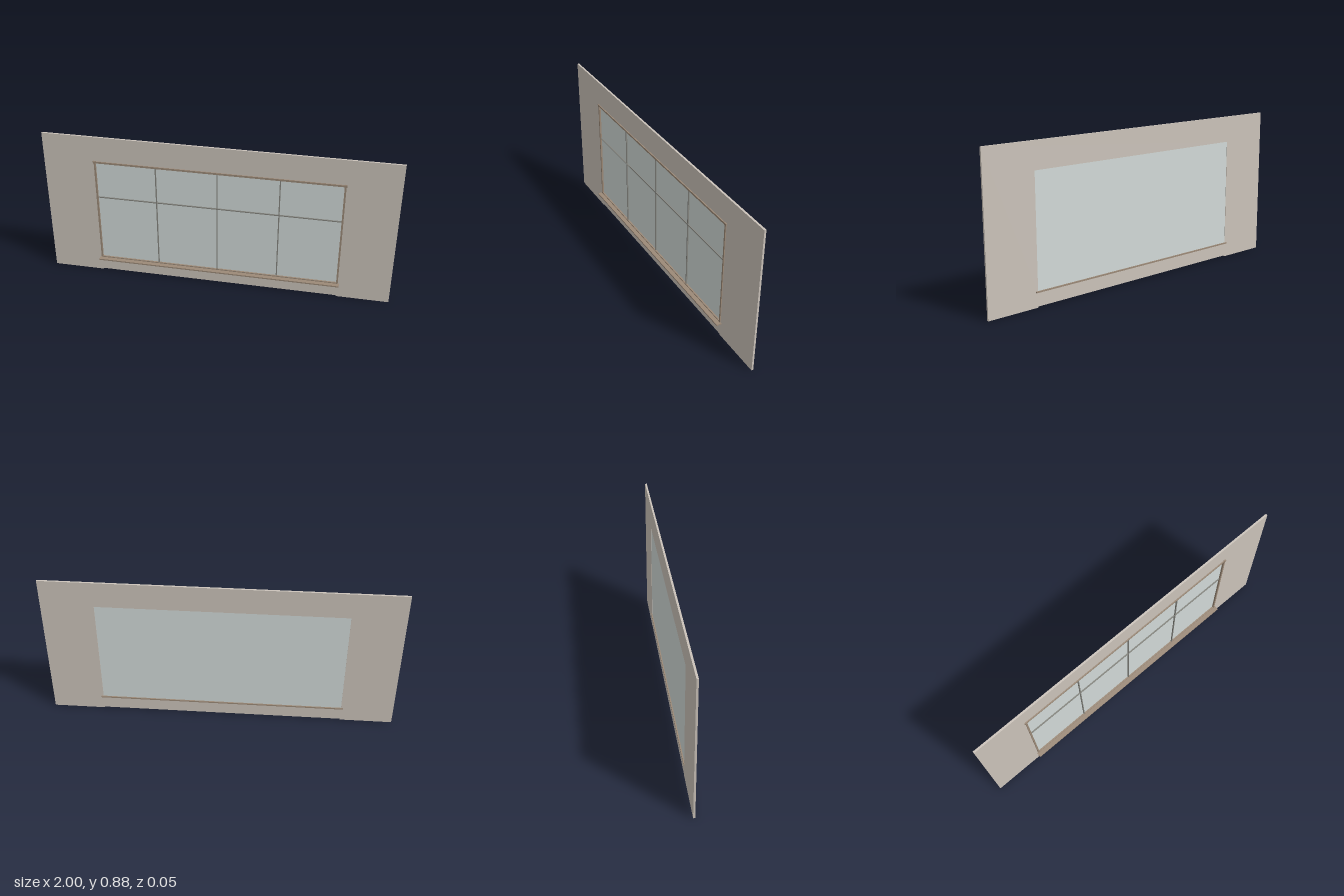
import * as THREE from 'three';

export function createModel() {
  const model = new THREE.Group();
  const wallMat = new THREE.MeshStandardMaterial({ color: 0xcbc3ba });
  const glassMat = new THREE.MeshStandardMaterial({ color: 0xd2dad8 });
  const trimMat = new THREE.MeshStandardMaterial({ color: 0x9c8a78 });
  const barMat = new THREE.MeshStandardMaterial({ color: 0x85857f });

  // Box given by its limits along each axis
  function box(name, mat, [x0, x1], [y0, y1], [z0, z1]) {
    const mesh = new THREE.Mesh(new THREE.BoxGeometry(x1 - x0, y1 - y0, z1 - z0), mat);
    mesh.position.set((x0 + x1) / 2, (y0 + y1) / 2, (z0 + z1) / 2);
    mesh.name = name;
    model.add(mesh);
  }

  const W = 0.7, bottom = 0.085, top = 0.727;

  // Wall panel with a shallow step under the window and a window opening
  const outline = new THREE.Shape([
    [-1, 0], [-W, 0], [-W, 0.006], [W, 0.006], [W, 0], [1, 0], [1, 0.88], [-1, 0.88],
  ].map(([x, y]) => new THREE.Vector2(x, y)));
  outline.holes.push(new THREE.Path([
    [-W, bottom], [-W, top], [W, top], [W, bottom],
  ].map(([x, y]) => new THREE.Vector2(x, y))));
  const wall = new THREE.Mesh(
    new THREE.ExtrudeGeometry(outline, { depth: 0.011, bevelEnabled: false }), wallMat);
  wall.position.z = -0.017;
  wall.name = 'wall';
  model.add(wall);

  // Glazing
  box('glass', glassMat, [-W, W], [bottom, top], [-0.015, -0.011]);

  // Glazing bars
  for (const x of [-0.35, 0, 0.35]) {
    box('verticalBar', barMat, [x - 0.003, x + 0.003], [bottom, top], [-0.011, -0.004]);
  }
  box('horizontalBar', barMat, [-W, W], [0.498, 0.504], [-0.011, -0.004]);

  // Frame: side jambs, head and bottom rail
  for (const s of [-1, 1]) {
    box('jamb', trimMat, [s * W - 0.005, s * W + 0.005], [bottom, top], [-0.011, -0.001]);
    box('cornerBlock', trimMat, [s * 0.702 - 0.007, s * 0.702 + 0.007], [0.719, 0.734], [-0.008, 0.001]);
  }
  box('head', trimMat, [-0.705, 0.705], [0.721, 0.732], [-0.011, 0]);
  box('bottomRail', trimMat, [-W, W], [0.089, 0.096], [-0.011, -0.002]);

  // Sill passing through the wall
  box('sill', trimMat, [-0.712, 0.712], [0.082, 0.09], [-0.022, 0.023]);

  return model;
}
